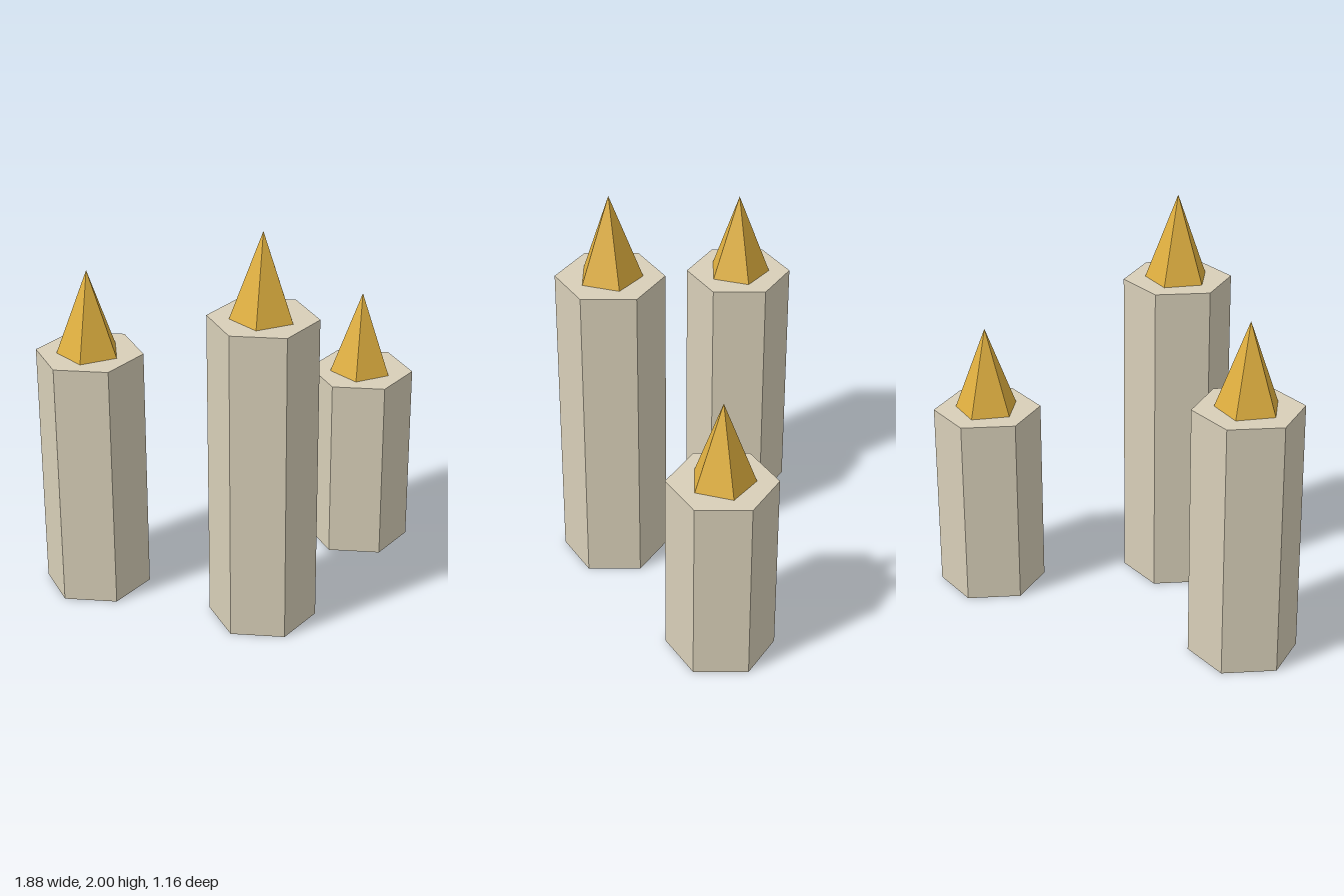
import * as THREE from 'three';

const stone = new THREE.MeshStandardMaterial({ color: 0xd8cfb8 });
stone.name = 'pale stone';
const gold = new THREE.MeshStandardMaterial({ color: 0xe0b040 });
gold.name = 'gold';

const COLUMN_RADIUS = 0.263;
const SPIRE_RADIUS = 0.158;
const SPIRE_HEIGHT = 0.421;

// Hexagonal column topped by a five-sided spire
function makeTower(name, x, z, height) {
  const tower = new THREE.Group();
  tower.name = name;
  tower.position.set(x, 0, z);

  const column = new THREE.Mesh(
    new THREE.CylinderGeometry(COLUMN_RADIUS, COLUMN_RADIUS, height, 6).toNonIndexed(), stone);
  column.geometry.computeVertexNormals();
  column.name = 'column';
  column.position.y = height / 2;

  // One corner points back, a flat side faces front
  const spire = new THREE.Mesh(
    new THREE.ConeGeometry(SPIRE_RADIUS, SPIRE_HEIGHT, 5).rotateY(Math.PI).toNonIndexed(), gold);
  spire.geometry.computeVertexNormals();
  spire.name = 'spire';
  spire.position.y = height + SPIRE_HEIGHT / 2;

  tower.add(column, spire);
  return tower;
}

export function createModel() {
  const model = new THREE.Group();
  model.name = 'threeTowers';
  model.add(
    makeTower('tallTower', -0.079, 0.316, 1.579),
    makeTower('middleTower', -0.711, -0.316, 1.263),
    makeTower('shortTower', 0.711, -0.211, 0.947),
  );
  return model;
}
